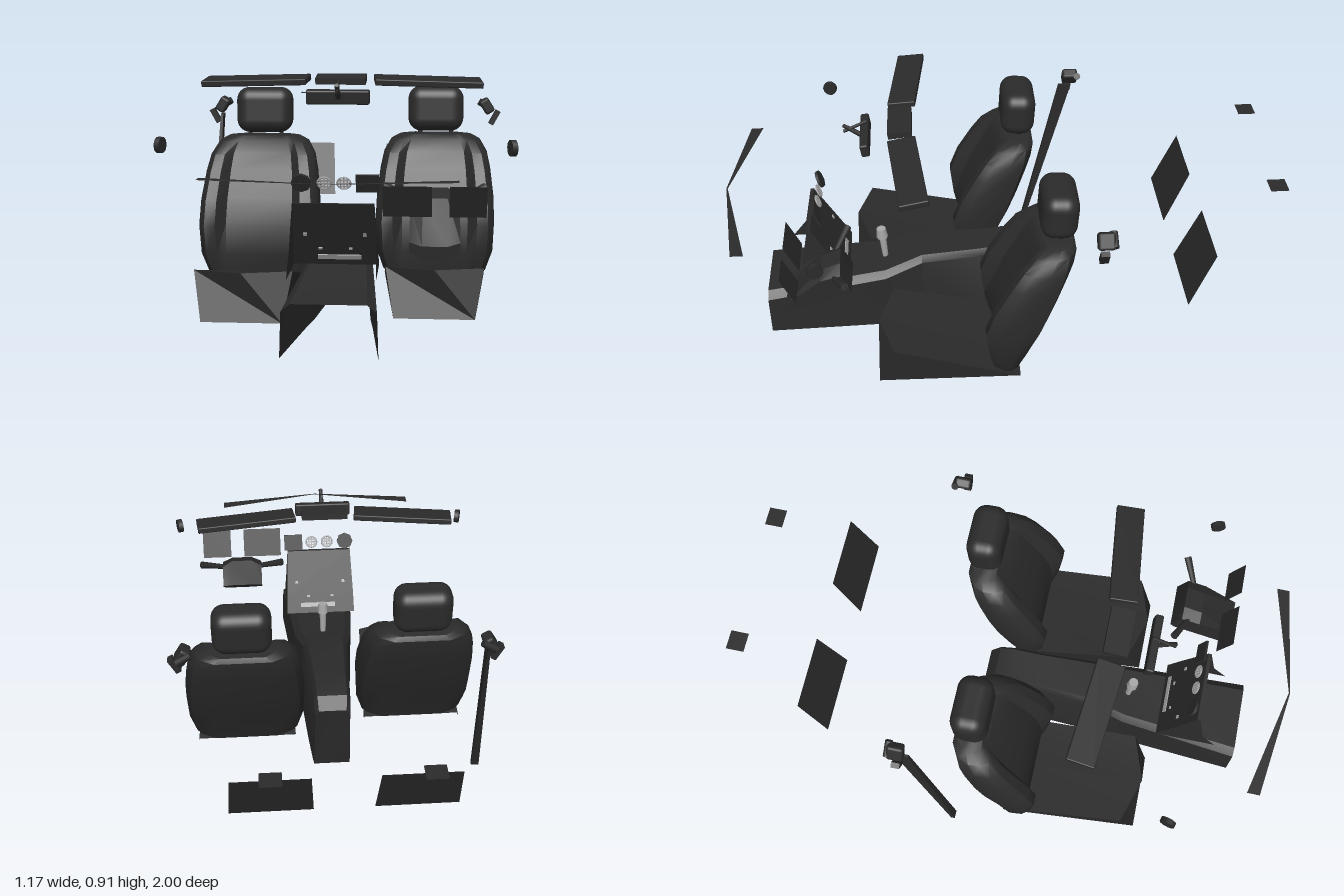
import * as THREE from 'three';
import { toCreasedNormals } from 'three/addons/utils/BufferGeometryUtils.js';
import { RoundedBoxGeometry } from 'three/addons/geometries/RoundedBoxGeometry.js';

const paint = (name, hex, side = THREE.FrontSide) => {
  const m = new THREE.MeshStandardMaterial({ color: hex, side });
  m.name = name;
  return m;
};

// Skin a list of cross-sections; each ring runs counter-clockwise about the direction of travel
function loft(rings, { closed = true, capStart = true, capEnd = true, crease = 0.6 } = {}) {
  const n = rings[0].length, pos = rings.flat(2), index = [];
  for (let i = 0; i < rings.length - 1; i++)
    for (let j = 0; j < (closed ? n : n - 1); j++) {
      const a = i * n + j, b = i * n + (j + 1) % n;
      index.push(a, b, b + n, a, b + n, a + n);
    }
  const last = (rings.length - 1) * n;
  for (let j = 1; j < n - 1; j++) {
    if (capStart) index.push(0, j + 1, j);
    if (capEnd) index.push(last, last + j, last + j + 1);
  }
  const g = new THREE.BufferGeometry();
  g.setAttribute('position', new THREE.Float32BufferAttribute(pos, 3));
  g.setIndex(index);
  return toCreasedNormals(g, crease);
}

export function createModel() {
  const root = new THREE.Group();
  root.name = 'carInterior';
  const trim = paint('charcoalTrim', 0x2b2b2b);
  const sheet = paint('charcoalSheet', 0x2b2b2b, THREE.DoubleSide);
  const silver = paint('silver', 0xa8a8a8, THREE.DoubleSide);

  const add = (name, geo, mat = trim, p = [0, 0, 0], r = [0, 0, 0], parent = root) => {
    const m = new THREE.Mesh(geo, mat);
    m.name = name;
    m.position.set(...p);
    m.rotation.set(...r);
    parent.add(m);
    return m;
  };
  const box = (w, h, d) => new THREE.BoxGeometry(w, h, d);
  const rod = (name, a, b, r0, r1, mat = trim) => {
    const A = new THREE.Vector3(...a), B = new THREE.Vector3(...b), d = B.clone().sub(A);
    const m = add(name, new THREE.CylinderGeometry(r1, r0, d.length(), 8), mat);
    m.position.copy(A).lerp(B, 0.5);
    m.quaternion.setFromUnitVectors(new THREE.Vector3(0, 1, 0), d.normalize());
  };
  const quads = (name, corners) => add(name, loft([corners.slice(0, 2), corners.slice(2)],
    { closed: false, capStart: false, capEnd: false }), sheet);

  // Seats: side bolsters stand forward of the centre panel
  // rows: y, half width, centre front z, bolster front z, back z
  const backRows = [
    [0.145, 0.195, 0.04, 0.05, -0.06], [0.22, 0.22, 0.05, 0.07, -0.085],
    [0.33, 0.225, 0.035, 0.082, -0.135], [0.42, 0.222, 0.0, 0.048, -0.17],
    [0.52, 0.21, -0.05, -0.01, -0.205], [0.58, 0.197, -0.08, -0.05, -0.225],
    [0.625, 0.17, -0.11, -0.095, -0.235], [0.642, 0.135, -0.135, -0.13, -0.225],
  ];
  const backRings = backRows.map(([y, w, c, f, b]) => {
    const half = [[0.55, c], [0.7, f], [0.88, f], [0.98, f - 0.03], [1, (f + b) / 2], [0.9, b + 0.03], [0.6, b]];
    return [...half.map(([u, z]) => [u * w, y, z]), ...half.reverse().map(([u, z]) => [-u * w, y, z])];
  });
  // Cushion is a wedge shell, open below, falling towards the back
  const cushionRings = [
    [[0.19, 0.117, -0.04], [0.188, 0.13, -0.04], [0, 0.13, -0.04], [-0.188, 0.13, -0.04], [-0.19, 0.117, -0.04]],
    [[0.14, 0.077, 0.47], [0.17, 0.245, 0.41], [0, 0.248, 0.465], [-0.17, 0.245, 0.41], [-0.14, 0.077, 0.47]],
  ];
  for (const [name, x, z] of [['leftSeat', 0.327, 0], ['rightSeat', -0.327, 0.09]]) {
    const seat = new THREE.Group();
    seat.name = name;
    seat.position.set(x, 0, z);
    root.add(seat);
    add('backrest', loft(backRings, { crease: 0.7 }), trim, [0, 0, 0], [0, 0, 0], seat);
    add('cushion', loft(cushionRings, { closed: false, capStart: false, crease: 0.2 }), sheet, [0, 0, 0], [0, 0, 0], seat);
    const head = new RoundedBoxGeometry(0.217, 0.172, 0.128, 4, 0.048);
    const p = head.attributes.position;
    for (let i = 0; i < p.count; i++) p.setX(i, p.getX(i) * (0.98 - 0.5 * Math.max(0, -p.getY(i) - 0.03)));
    add('headrest', head, trim, [0, 0.738, -0.18], [-0.06, 0, 0], seat);
    for (const s of [-1, 1])
      add('headrestPost', new THREE.CylinderGeometry(0.008, 0.008, 0.06, 8), trim, [s * 0.06, 0.645, -0.185], [0, 0, 0], seat);
  }

  // Centre tunnel with armrest, open in front and below
  // rows: bottom z, shoulder z, bottom half width, bottom y, top half width, top y
  add('centreConsole', loft([
    [-0.07, -0.117, 0.07, 0, 0.066, 0.3], [-0.05, -0.08, 0.073, 0.002, 0.07, 0.345],
    [-0.02, -0.03, 0.076, 0.004, 0.072, 0.357], [0.08, 0.08, 0.085, 0.01, 0.076, 0.345],
    [0.3, 0.3, 0.1, 0.023, 0.09, 0.335], [0.44, 0.44, 0.115, 0.032, 0.115, 0.285],
    [0.885, 0.885, 0.155, 0.06, 0.15, 0.235],
  ].map(([z0, z1, wb, y0, wt, y1]) => [[wb, y0, z0], [wt, y1 - 0.025, z1], [wt * 0.8, y1, z1],
    [-wt * 0.8, y1, z1], [-wt, y1 - 0.025, z1], [-wb, y0, z0]]), { closed: false, capEnd: false, crease: 0.6 }), sheet);

  // Dashboard stack, open in front, with silver controls on its sloped panel
  add('dashStack', loft([[0.29, 0.142, 0.8, 0.572], [0.36, 0.14, 0.745, 0.611], [0.52, 0.132, 0.712, 0.7]]
    .map(([y, w, f, b]) => [[w, y, f], [w, y, b], [-w, y, b], [-w, y, f]]),
  { closed: false, capStart: false, crease: 0.2 }), sheet);
  const onPanel = (name, x, y, w, h) =>
    add(name, box(w, h, 0.008), silver, [x, y, 0.55 + (y - 0.25) * 0.556], [0.507, 0, 0]);
  onPanel('controlStrip', 0.012, 0.32, 0.145, 0.018);
  for (const s of [-1, 1]) {
    onPanel('panelButton', s * 0.098, 0.405, 0.012, 0.012);
    onPanel('panelButton', s * 0.05, 0.352, 0.012, 0.008);
  }

  // Gear lever
  rod('gearLever', [0, 0.28, 0.44], [0, 0.385, 0.447], 0.011, 0.014, silver);
  rod('gearKnob', [0, 0.375, 0.447], [0, 0.415, 0.45], 0.022, 0.018, silver);

  // Row of dash vents
  const disc = (r, d, n) => new THREE.CylinderGeometry(r, r, d, n);
  add('hazardPod', disc(0.033, 0.01, 8), trim, [-0.107, 0.58, 0.67], [Math.PI / 2 + 0.4, 0, 0]);
  add('dashBox', box(0.075, 0.064, 0.008), trim, [0.108, 0.58, 0.67], [0.4, 0, 0]);
  for (const x of [-0.032, 0.032]) {
    const vent = new THREE.Group();
    vent.name = 'airVent';
    vent.position.set(x, 0.58, 0.67);
    vent.rotation.x = 0.4;
    root.add(vent);
    add('ventRing', new THREE.TorusGeometry(0.022, 0.003, 6, 16), silver, [0, 0, 0], [0, 0, 0], vent);
    for (const k of [-1, 0, 1]) {
      add('ventSlat', box(0.038, 0.005, 0.006), silver, [0, k * 0.011, 0], [0, 0, 0], vent);
      add('ventBar', box(0.004, 0.038, 0.006), silver, [k * 0.011, 0, 0], [0, 0, 0], vent);
    }
  }

  // Steering column with stalks
  const columnRing = (x, k) => [[0.78, 0.4], [0.775, 0.355], [0.56, 0.44], [0.545, 0.46], [0.58, 0.555], [0.65, 0.53]]
    .map(([z, y]) => [x, 0.45 + (y - 0.45) * k, z]);
  add('steeringColumn', loft([columnRing(0.245, 0.75), columnRing(0.285, 1), columnRing(0.365, 1), columnRing(0.405, 0.75)],
    { crease: 0.3 }));
  for (const s of [-1, 1])
    rod('columnStalk', [0.325 + s * 0.06, 0.51, 0.61], [0.325 + s * 0.165, 0.555, 0.56], 0.009, 0.014);

  // Instrument plates leaning over the column
  for (const [x0, x1] of [[0.16, 0.315], [0.37, 0.487]])
    quads('instrumentPlate', [[x0, 0.485, 0.73], [x1, 0.485, 0.73], [x0, 0.59, 0.778], [x1, 0.59, 0.778]]);

  // Rear-view mirror and roof console
  add('mirror', new RoundedBoxGeometry(0.213, 0.048, 0.03, 2, 0.006), trim, [-0.002, 0.84, 0.48], [0.15, 0, 0]);
  rod('mirrorArm', [0, 0.84, 0.49], [0, 0.885, 0.555], 0.01, 0.007);
  rod('mirrorArm', [0, 0.86, 0.555], [0, 0.9, 0.47], 0.006, 0.006);
  add('roofConsole', box(0.172, 0.022, 0.085), trim, [0, 0.89, 0.355], [0.12, 0, 0]);

  for (const s of [-1, 1]) {
    // Sun visor
    add('sunVisor', new RoundedBoxGeometry(0.37, 0.022, 0.1, 2, 0.004), trim, [s * 0.298, 0.882, 0.33], [0.12, s * 0.1, s * -0.045]);
    // Round door vent ahead of the seats
    add('doorVent', disc(0.027, 0.018, 10), trim, [s * 0.57, 0.695, 0.642], [0, s * 0.3, Math.PI / 2]);
    // Belt anchor on the pillar
    add('beltAnchor', new RoundedBoxGeometry(0.04, 0.06, 0.06, 2, 0.01), trim, [s * 0.53, 0.735, -0.318], [0, 0, s * 0.55]);
    add('beltGuide', box(0.02, 0.06, 0.03), trim, [s * 0.56, 0.69, -0.31], [0, 0, s * -0.5]);
    rod('beltBolt', [s * 0.5, 0.75, -0.345], [s * 0.55, 0.72, -0.345], 0.014, 0.014);
    // Windscreen shelf, rear panel and rear speaker plate
    quads('windscreenShelf', [[s * 0.395, 0.63, 0.9], [s * 0.395, 0.63, 0.945], [0, 0.63, 0.995], [0, 0.63, 1]]);
    quads('rearPanel', [[s * 0.105, 0.31, -0.66], [s * 0.395, 0.31, -0.66], [s * 0.115, 0.525, -0.745], [s * 0.385, 0.525, -0.745]]);
    quads('rearPlate', [[s * 0.215, 0.727, -0.935], [s * 0.285, 0.727, -0.935], [s * 0.215, 0.727, -1], [s * 0.285, 0.727, -1]]);
  }

  // Seat belt hanging from the right pillar
  add('seatBelt', loft([[0.025, -0.572, -0.542, -0.135, -0.15], [0.7, -0.534, -0.524, -0.275, -0.325]]
    .map(([y, x0, x1, z0, z1]) => [[x0, y, z1], [x0, y, z0], [x1, y, z0], [x1, y, z1]]), { crease: 0.3 }), sheet);

  return root;
}
